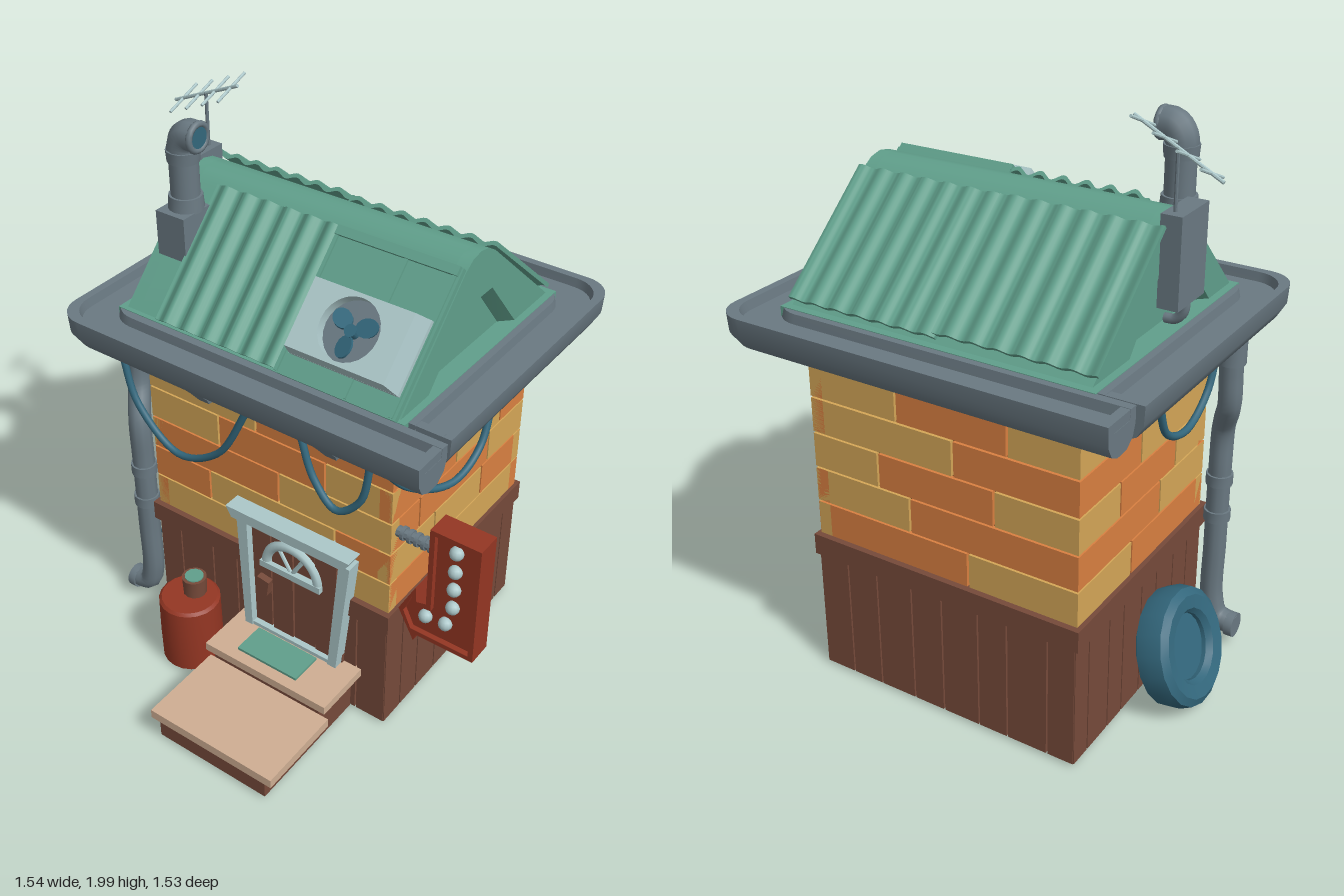
import * as THREE from 'three';
import { toCreasedNormals } from 'three/addons/utils/BufferGeometryUtils.js';

const mat = (name, color) => Object.assign(new THREE.MeshStandardMaterial({ color }), { name });
const M = {
  wood: mat('brown wood', 0x764a3a), orange: mat('orange brick', 0xd98041), tan: mat('tan brick', 0xd4a657),
  mortar: mat('mortar', 0x8a5a30), stone: mat('step stone', 0xcfae93), green: mat('roof green', 0x609f8b),
  grey: mat('gutter grey', 0x6a7982), pale: mat('pale metal', 0xacc7c9), teal: mat('dark teal', 0x33677c),
  red: mat('red paint', 0x943623),
};

function add(parent, name, geo, material, x = 0, y = 0, z = 0) {
  const m = new THREE.Mesh(geo, material);
  m.name = name;
  m.position.set(x, y, z);
  parent.add(m);
  return m;
}
// Box given by its minimum and maximum on each axis
const box = (p, name, m, x0, x1, y0, y1, z0, z1) =>
  add(p, name, new THREE.BoxGeometry(x1 - x0, y1 - y0, z1 - z0), m, (x0 + x1) / 2, (y0 + y1) / 2, (z0 + z1) / 2);
// Four walls with nothing inside
function ring(p, name, m, x0, x1, y0, y1, z0, z1, t = .02) {
  box(p, name, m, x0, x1, y0, y1, z1 - t, z1);
  box(p, name, m, x0, x1, y0, y1, z0, z0 + t);
  box(p, name, m, x0, x0 + t, y0, y1, z0 + t, z1 - t);
  box(p, name, m, x1 - t, x1, y0, y1, z0 + t, z1 - t);
}
const smooth = (g, a = 0.6) => toCreasedNormals(g, a);
const cyl = (p, name, m, r0, r1, h, x, y, z, n = 16) =>
  add(p, name, smooth(new THREE.CylinderGeometry(r0, r1, h, n)), m, x, y, z);
const shape = pts => new THREE.Shape(pts.map(p => new THREE.Vector2(...p)));
const extrude = (s, depth) => new THREE.ExtrudeGeometry(s, { depth, bevelEnabled: false });
const tube = (p, name, m, pts, r, n = 32) =>
  add(p, name, new THREE.TubeGeometry(new THREE.CatmullRomCurve3(pts.map(q => new THREE.Vector3(...q))), n, r, 10), m);
function group(p, name) {
  const g = new THREE.Group();
  g.name = name;
  p.add(g);
  return g;
}
// Thin round bar between two points
function bar(p, name, m, a, b, r) {
  const A = new THREE.Vector3(...a), B = new THREE.Vector3(...b), d = B.clone().sub(A);
  const c = cyl(p, name, m, r, r, d.length(), ...A.clone().add(B).multiplyScalar(0.5).toArray(), 8);
  c.quaternion.setFromUnitVectors(new THREE.Vector3(0, 1, 0), d.normalize());
  return c;
}
// Moves the vertices that pass a test
function reshape(geo, test, move) {
  const a = geo.attributes.position, v = new THREE.Vector3();
  for (let i = 0; i < a.count; i++) if (test(v.fromBufferAttribute(a, i))) a.setXYZ(i, ...move(v).toArray());
  return geo;
}

// Gutter: a trough section swept along an L path; every edge turns with the same corner radius
function gutter(p, name, a, c, b) {
  const sec = [[.075, 1.35], [.047, 1.35], [.042, 1.318], [-.042, 1.318], [-.047, 1.35], [-.075, 1.35], [-.075, 1.3],
    [-.062, 1.262], [-.03, 1.237], [.02, 1.235], [.052, 1.25], [.072, 1.288]];
  const [A, C, B] = [a, c, b].map(q => new THREE.Vector2(...q)), r = 0.1;
  const d1 = C.clone().sub(A).normalize(), d2 = B.clone().sub(C).normalize();
  const out1 = new THREE.Vector2(-d1.y, d1.x), out2 = new THREE.Vector2(-d2.y, d2.x), mitre = out1.clone().add(out2);
  const path = [[A, out1]];
  for (let i = 0; i <= 8; i++) {
    const t = i / 8 * Math.PI / 2;
    path.push([C.clone().addScaledVector(d1, r * (Math.sin(t) - 1)).addScaledVector(d2, r * (1 - Math.cos(t))), mitre]);
  }
  path.push([B, out2]);
  const pos = [], idx = [], n = sec.length, last = (path.length - 1) * n;
  for (const [q, o] of path) for (const [u, y] of sec) pos.push(q.x + o.x * u, y, q.y + o.y * u);
  for (let i = 0; i < path.length - 1; i++) for (let j = 0; j < n; j++) {
    const e = i * n + j, f = i * n + (j + 1) % n;
    idx.push(e, e + n, f, f, e + n, f + n);
  }
  for (const [i, j, k] of THREE.ShapeUtils.triangulateShape(sec.map(s => new THREE.Vector2(...s)), []))
    idx.push(i, j, k, last + k, last + j, last + i);
  const g = new THREE.BufferGeometry();
  g.setAttribute('position', new THREE.Float32BufferAttribute(pos, 3));
  g.setIndex(idx);
  add(p, name, smooth(g, 0.7), M.grey);
  // Closed trough ends
  for (const [e, d] of [[A, d1], [B, d2.clone().negate()]]) {
    const q = e.clone().addScaledVector(d, .016), w = Math.abs(d.x) * .015 + Math.abs(d.y) * .046, l = .061 - w;
    box(p, 'gutterEnd', M.grey, q.x - w, q.x + w, 1.31, 1.349, q.y - l, q.y + l);
  }
}

// Corrugated sheet: wavy outline extruded down the slope
function sheet(p, name, x0, x1, len, amp, y) {
  const top = [], n = 72;
  for (let i = 0; i <= n; i++) {
    const x = x0 + (x1 - x0) * i / n;
    top.push([x, y + amp * Math.sin(x * 2 * Math.PI / 0.082)]);
  }
  const under = top.map(([x, h]) => [x, h - 0.014]);
  return add(p, name, smooth(extrude(shape([...under, ...top.reverse()]), len)), M.green);
}

function walls(root) {
  const g = group(root, 'walls');
  ring(g, 'wallCore', M.mortar, -.52, .43, .5, 1.3, -.565, .235);
  ring(g, 'baseCore', M.wood, -.525, .435, .02, .5, -.58, .24);
  ring(g, 'baseTrim', M.wood, -.55, .46, .46, .535, -.6, .27, .06);
  // Brick rows, bottom to top: joints along the wall and colours (O orange, T tan)
  const front = [['TT', .42], ['OTO', .25, .78], ['OT', .55], ['TOT', .3, .74], ['TO', .46], ['OTO', .09, .56]];
  const side = [['TO', .55], ['OTT', .32, .68], ['TOO', .28, .8], ['OTO', .2, .54], ['OO', .62], ['OTO', .36, .8]];
  const back = [['TO', .4], ['OT', .62], ['TOT', .3, .74], ['OT', .45], ['TOT', .25, .66], ['OTO', .4, .9]];
  const sides = [['x', .205, .25, front], ['x', -.58, -.535, back], ['z', .4, .447, side], ['z', -.535, -.49, back]];
  for (const [axis, d0, d1, rows] of sides) rows.forEach(([colours, ...joints], r) => {
    const [lo, hi] = axis === 'x' ? [-.535, .447] : [-.58, .25], cuts = [0, ...joints, 1];
    for (let i = 0; i < colours.length; i++) {
      const a = lo + (hi - lo) * cuts[i] + (i ? .004 : 0), b = lo + (hi - lo) * cuts[i + 1] - (i < colours.length - 1 ? .004 : 0);
      const y0 = .536 + r * .127, m = colours[i] === 'O' ? M.orange : M.tan;
      if (axis === 'x') box(g, 'brick', m, a, b, y0, y0 + .12, d0, d1);
      else box(g, 'brick', m, d0, d1, y0, y0 + .12, a, b);
    }
  });
  // Base planks
  const edges = [0, .1, .25, .36, .5, .62, .76, .88, 1];
  for (let i = 0; i < 8; i++) {
    const px = t => -.537 + .985 * t, pz = t => -.593 + .85 * t, e = .003;
    const a = px(edges[i]) + e, b = px(edges[i + 1]) - e, c = pz(edges[i]) + e, d = pz(edges[i + 1]) - e;
    box(g, 'plank', M.wood, a, b, .02, .47, .23, .257);
    box(g, 'plank', M.wood, a, b, .02, .47, -.593, -.57);
    box(g, 'plank', M.wood, .42, .448, .02, .47, c, d);
    box(g, 'plank', M.wood, -.537, -.51, .02, .47, c, d);
  }
}

function roof(root) {
  const g = group(root, 'roof');
  box(g, 'eaves', M.green, -.6, .505, 1.27, 1.352, -.62, .295);
  // Gabled body along x, with raised gable frames; profile x stands for -z
  const profile = [[-.285, 1.345], [.6, 1.345], [.215, 1.685], [.175, 1.71], [.13, 1.72], [.085, 1.712], [.045, 1.685]];
  const notch = [[-.135, 1.345], [.06, 1.555], [.215, 1.555], [.39, 1.345]];
  const along = (name, geo, x) => add(g, name, smooth(geo), M.green, x).rotation.y = Math.PI / 2;
  // The notch narrows towards the wall, giving it sloping sides
  const frame = (depth, inner) => reshape(extrude(shape([profile[0], ...notch, ...profile.slice(1)]), depth),
    v => Math.abs(v.z - inner) < 1e-4 && notch.some(q => Math.hypot(q[0] - v.x, q[1] - v.y) < 1e-4),
    v => v.set(.13 + (v.x - .13) * .84, 1.345 + (v.y - 1.345) * .87, v.z));
  along('roofBody', extrude(shape(profile), .97), -.53);
  along('rightGableFrame', frame(.042, 0), .439);
  along('leftGableFrame', frame(.046, .046), -.575);
  // Front slope: local z runs down the slope, y points outwards
  const f = group(g, 'frontSlope');
  f.position.set(0, 1.7, -.04);
  f.rotation.x = Math.PI / 4;
  sheet(f, 'frontSheet', -.44, .04, .475, .011, .01);
  box(f, 'flatPanel', M.green, .045, .48, -.01, .01, 0, .485);
  box(f, 'panelLip', M.green, .045, .475, .01, .025, 0, .03);
  for (const x of [.05, .3, .465]) box(f, 'panelRib', M.green, x - .006, x + .006, .005, .018, 0, .48);
  const b = group(g, 'backSlope');
  b.position.set(0, 1.692, -.225);
  b.rotation.set(Math.atan2(.33, .385), Math.PI, 0, 'YXZ');
  sheet(b, 'backSheet', -.485, .055, .49, .007, .007);
  sheet(b, 'backSheet', .045, .595, .48, .007, .014);
  // Cooling unit with fan, narrowing towards its face
  const ac = group(f, 'coolingUnit');
  ac.position.set(.272, .052, .297);
  const face = shape([[-.175, -.112], [.175, -.112], [.175, .112], [-.175, .112]]);
  face.holes.push(new THREE.Path().absarc(0, 0, .1, 0, Math.PI * 2, true));
  const housing = reshape(extrude(face, .075), v => v.z < 1e-4 && Math.abs(v.x) > .12, v => v.set(v.x * 1.11, v.y * 1.07, 0));
  add(ac, 'unitHousing', smooth(housing), M.pale, 0, -.02, 0).rotation.x = -Math.PI / 2;
  box(ac, 'unitBase', M.pale, -.195, .195, -.055, -.019, -.12, .12);
  cyl(ac, 'fanWell', M.grey, .101, .101, .006, 0, .014, 0, 24);
  cyl(ac, 'fanHub', M.teal, .02, .02, .03, 0, .03, 0);
  for (let i = 0; i < 3; i++) {
    const arm = group(ac, 'fanBlade');
    arm.rotation.y = i * Math.PI * 2 / 3 + .5;
    const blade = cyl(arm, 'blade', M.teal, .036, .036, .008, .05, .036, 0);
    blade.scale.z = .8;
    blade.rotation.x = .25;
  }
}

function roofFittings(root) {
  const g = group(root, 'chimney');
  box(g, 'chimneyBase', M.grey, -.55, -.435, 1.49, 1.65, .01, .14);
  cyl(g, 'chimneyPipe', M.grey, .048, .048, .28, -.49, 1.71, .06);
  cyl(g, 'chimneyCollar', M.grey, .056, .06, .05, -.49, 1.67, .06);
  cyl(g, 'chimneyCollar', M.grey, .056, .053, .04, -.49, 1.83, .06);
  tube(g, 'chimneyElbow', M.grey, [[-.49, 1.82, .06], [-.488, 1.87, .06], [-.465, 1.9, .06], [-.425, 1.903, .06]], .052, 12);
  const mouth = add(g, 'chimneyMouth', new THREE.TorusGeometry(.043, .011, 8, 16), M.grey, -.426, 1.903, .06);
  mouth.rotation.y = Math.PI / 2;
  cyl(g, 'chimneyHole', M.teal, .04, .04, .006, -.422, 1.903, .06).rotation.z = Math.PI / 2;

  const a = group(root, 'antenna');
  box(a, 'antennaBox', M.grey, -.64, -.572, 1.45, 1.735, -.225, -.055);
  tube(a, 'boxPipe', M.grey, [[-.6, 1.47, -.1], [-.6, 1.4, -.1], [-.575, 1.37, -.1], [-.54, 1.365, -.1]], .016, 12);
  bar(a, 'mast', M.grey, [-.6, 1.72, -.19], [-.6, 1.92, -.19], .006);
  bar(a, 'boom', M.pale, [-.75, 1.85, -.21], [-.45, 1.985, -.17], .006);
  for (const t of [.13, .39, .65, .9]) {
    const x = -.75 + .3 * t, y = 1.85 + .135 * t, z = -.21 + .04 * t;
    bar(a, 'antennaRod', M.pale, [x - .004, y - .028, z + .065], [x + .004, y + .028, z - .065], .005);
  }
}

function pipesAndCables(root) {
  gutter(root, 'frontGutter', [-.67, -.61], [-.67, .37], [.65, .37]);
  gutter(root, 'backGutter', [.575, .275], [.575, -.69], [-.72, -.69]);
  const d = group(root, 'downpipe');
  tube(d, 'pipe', M.grey, [[-.645, 1.25, .18], [-.645, 1.1, .18], [-.643, .98, .19], [-.605, .86, .245], [-.6, .7, .25],
    [-.6, .4, .25], [-.602, .18, .25], [-.625, .11, .25], [-.69, .09, .25]], .04, 64);
  cyl(d, 'pipeSleeve', M.grey, .046, .046, .1, -.645, 1.18, .18);
  for (const y of [.66, .52]) cyl(d, 'pipeSleeve', M.grey, .046, .046, .04, -.6, y, .25);
  cyl(d, 'pipeEnd', M.grey, .044, .044, .03, -.685, .09, .25).rotation.z = Math.PI / 2;

  const c = group(root, 'cables');
  tube(c, 'frontCable', M.teal, [[-.52, 1.25, .38], [-.46, 1.08, .39], [-.3, .945, .39], [-.13, 1.02, .39], [0, 1.25, .38]], .012);
  tube(c, 'frontCable', M.teal, [[.19, 1.25, .38], [.25, 1.1, .39], [.34, 1.025, .4], [.42, 1.09, .39], [.45, 1.25, .38]], .012);
  tube(c, 'rightCable', M.teal, [[.45, 1.25, .37], [.51, 1.11, .27], [.57, 1.05, .11], [.58, 1.1, -.03], [.57, 1.25, -.12]], .012);
  tube(c, 'leftCable', M.teal, [[-.66, 1.25, -.36], [-.66, 1.1, -.3], [-.66, 1.05, -.16], [-.66, 1.12, -.03], [-.66, 1.25, .03]], .012);
  // Gutter brackets, narrower at the foot
  for (const x of [-.283, .225]) {
    const s = shape([[-.24, 1.27], [-.4, 1.27], [-.38, 1.22], [-.29, 1.12], [-.265, 1.085], [-.24, 1.085]]);
    const geo = reshape(extrude(s, .07), v => v.y < 1.11, v => v.setZ(.035 + (v.z - .035) * .6));
    add(root, 'gutterBracket', smooth(geo), M.grey, x - .035).rotation.y = Math.PI / 2;
  }
}

function entrance(root) {
  const s = group(root, 'steps');
  ring(s, 'lowerStep', M.wood, -.14, .31, .02, .112, .26, .75);
  box(s, 'lowerTread', M.stone, -.16, .35, .11, .145, .45, .768);
  ring(s, 'upperStep', M.wood, -.14, .31, .1, .19, .25, .45);
  box(s, 'upperTread', M.stone, -.16, .35, .188, .22, .25, .472);
  box(s, 'doorMat', M.green, -.05, .2, .218, .23, .31, .43);

  const d = group(root, 'door');
  [-.1, -.005, .085, .175].forEach((x, i) => box(d, 'doorPlank', M.wood, x, x + .086, .22, .7, .24, .278 + (i % 2) * .004));
  box(d, 'doorBack', M.wood, -.1, .28, .22, .7, .24, .27);
  const jamb = pts => add(d, 'doorJamb', extrude(shape(pts), .06), M.pale, 0, 0, .245);
  jamb([[-.115, .22], [-.083, .22], [-.093, .7], [-.135, .7]]);
  jamb([[.242, .22], [.276, .22], [.328, .7], [.285, .7]]);
  add(d, 'doorLintel', extrude(shape([[-.15, .695], [.31, .695], [.332, .735], [-.172, .735]]), .07), M.pale, 0, 0, .245);
  box(d, 'threshold', M.pale, -.1, .26, .22, .235, .25, .3);
  add(d, 'windowArch', new THREE.TorusGeometry(.107, .018, 8, 20, Math.PI), M.pale, .08, .54, .282);
  box(d, 'windowSill', M.pale, -.045, .205, .521, .547, .27, .3);
  for (const t of [.33, .67])
    bar(d, 'windowBar', M.pale, [.08, .535, .284], [.08 + .1 * Math.cos(t * Math.PI), .535 + .1 * Math.sin(t * Math.PI), .284], .008);
  box(d, 'doorLock', M.wood, -.06, -.01, .4, .465, .28, .305).rotation.z = -.15;
}

function props(root) {
  // Arrow sign with bulbs
  const g = group(root, 'arrowSign');
  const outline = [[.77, .975], [.59, .975], [.59, .665], [.555, .655], [.55, .715], [.49, .595], [.55, .482], [.56, .512], [.77, .512]];
  const rim = shape(outline);
  rim.holes.push(shape([[.752, .957], [.608, .957], [.608, .645], [.54, .64], [.538, .672], [.508, .595], [.538, .53], [.542, .53], [.752, .53]]));
  add(g, 'signBoard', extrude(shape(outline), .07), M.red, 0, 0, .17);
  add(g, 'signRim', extrude(rim, .02), M.red, 0, 0, .239);
  for (const [x, y] of [[.68, .918], [.68, .842], [.68, .768], [.68, .692], [.658, .61], [.585, .603]])
    add(g, 'bulb', new THREE.SphereGeometry(.024, 12, 8), M.pale, x, y, .247);
  bar(g, 'signArm', M.grey, [.43, .865, .21], [.6, .865, .21], .019);
  for (let x = .47; x < .59; x += .026) cyl(g, 'armRing', M.grey, .024, .024, .012, x, .865, .21).rotation.z = Math.PI / 2;

  // Barrel
  const b = group(root, 'barrel');
  const prof = [[0, .01], [.1, .01], [.11, .02], [.112, .15], [.11, .28], [.1, .29], [0, .29]];
  add(b, 'barrelBody', smooth(new THREE.LatheGeometry(prof.map(p => new THREE.Vector2(...p)), 20)), M.red, -.315, 0, .37);
  cyl(b, 'cup', M.wood, .045, .042, .07, -.31, .325, .345, 12);
  cyl(b, 'cupFill', M.green, .034, .034, .006, -.31, .361, .345, 12);

  // Tyre leaning on the left wall
  const t = group(root, 'tyre');
  t.position.set(-.655, .215, -.11);
  t.rotation.z = THREE.MathUtils.degToRad(70);
  const tp = [[.11, -.035], [.125, -.055], [.17, -.062], [.195, -.045], [.202, 0], [.195, .045], [.17, .062], [.125, .055], [.11, .035], [.11, -.035]];
  add(t, 'tyreRing', smooth(new THREE.LatheGeometry(tp.map(p => new THREE.Vector2(...p)), 18)), M.teal);
  cyl(t, 'tyreDisc', M.teal, .112, .112, .04, 0, 0, 0, 24);
}

export function createModel() {
  const root = new THREE.Group();
  root.name = 'smallShop';
  for (const build of [walls, roof, roofFittings, pipesAndCables, entrance, props]) build(root);
  return root;
}
